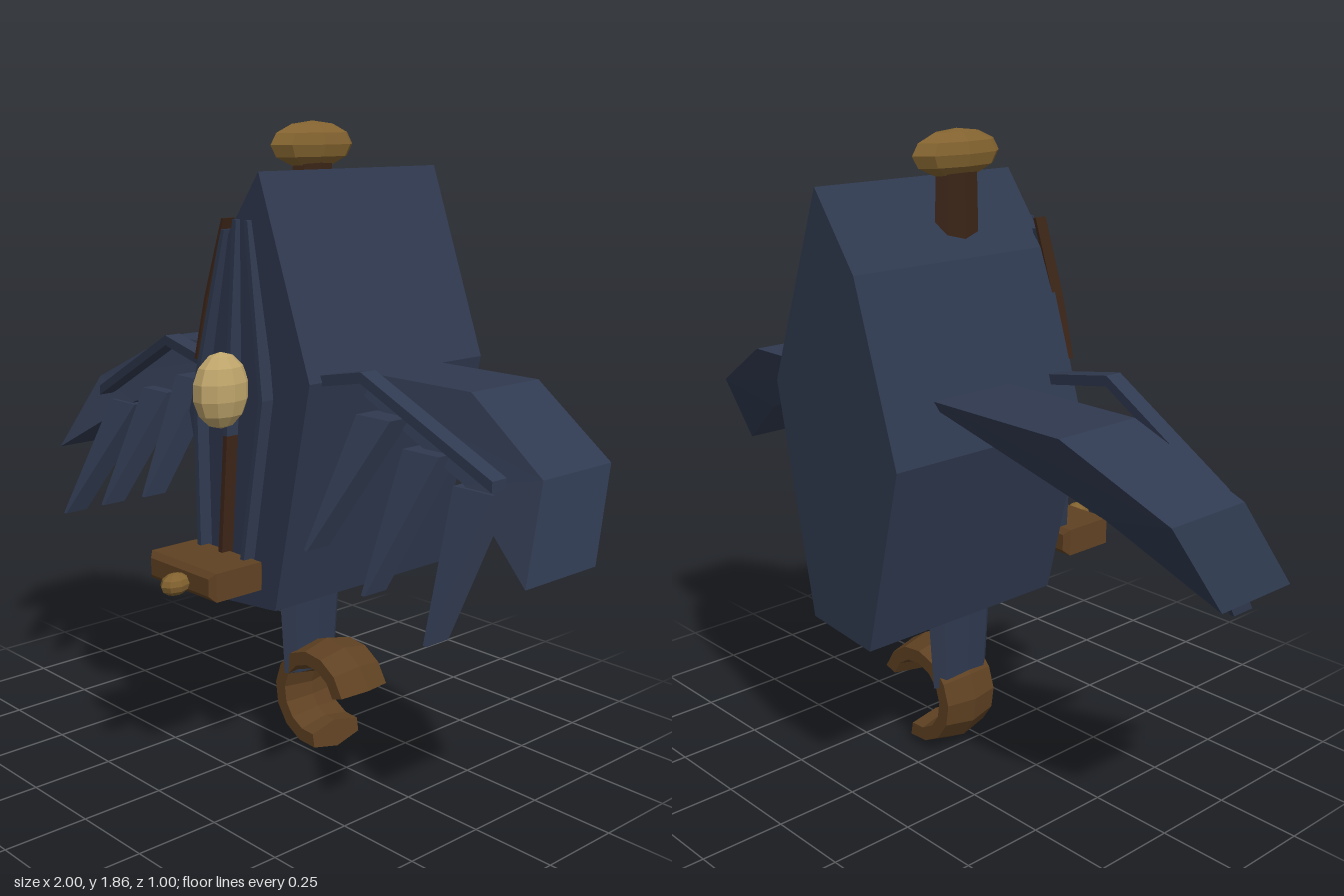
import * as THREE from 'three';
import { mergeGeometries } from 'three/addons/utils/BufferGeometryUtils.js';

const mat = (name, color) => {
  const m = new THREE.MeshStandardMaterial({ color, flatShading: true });
  m.name = name;
  return m;
};

export function createModel() {
  const navy = mat('navy', 0x2f394f);
  const brown = mat('brown', 0x5f4122);
  const darkBrown = mat('dark brown', 0x3b2417);
  const bronze = mat('bronze', 0x82622f);
  const gold = mat('pale gold', 0xbfa56b);

  const model = new THREE.Group();
  model.name = 'wingedCharm';
  const add = (name, geo, material, parent = model) => {
    const mesh = new THREE.Mesh(geo, material);
    mesh.name = name;
    parent.add(mesh);
    return mesh;
  };

  // Prism from an outline in x/y, sheared in z by a rule
  const prism = (pts, zBack, depth, shift = () => 0) => {
    const shape = new THREE.Shape(pts.map(([x, y]) => new THREE.Vector2(x, y)));
    const geo = new THREE.ExtrudeGeometry(shape, { depth, bevelEnabled: false });
    const p = geo.attributes.position;
    for (let i = 0; i < p.count; i++) {
      p.setZ(i, p.getZ(i) + zBack + shift(p.getX(i), p.getY(i)));
    }
    geo.computeVertexNormals();
    return geo;
  };
  // Outline of a bent strip: the path and its copy moved by (dx, dy)
  const strip = (path, dx, dy) => [
    ...path,
    ...path.map(([x, y]) => [x + dx, y + dy]).reverse(),
  ];
  const ellipsoid = (name, pos, radii, material, w = 8, h = 6) => {
    const geo = new THREE.SphereGeometry(1, w, h).scale(...radii);
    add(name, geo, material).position.set(...pos);
  };

  // Body: deep irregular hexagon
  add('body', prism([
    [0.085, 1.73], [-0.07, 1.52], [-0.23, 1.03],
    [-0.1, 0.485], [0.15, 0.51], [0.29, 1.18],
  ], -0.5, 0.69), navy);

  // Front ribs, leaning forward towards the clasp
  const lean = (x, y) => (1.6 - y) * 0.065;
  const rib = (name, path, width, material, z = 0.165) =>
    add(name, prism(strip(path, width, 0), z, 0.04, lean), material);
  rib('leftRib', [[0.04, 1.6], [0.135, 1.12], [0.085, 0.64]], 0.016, navy);
  rib('rightRib', [[-0.056, 1.57], [-0.151, 1.12], [-0.101, 0.64]], 0.016, navy);
  rib('upperCentreRib', [[-0.008, 1.6], [-0.008, 1.0]], 0.016, navy);
  rib('lowerCentreRib', [[-0.008, 1.0], [-0.008, 0.64]], 0.016, darkBrown);
  rib('brownRib', [[-0.055, 1.6], [-0.115, 1.38], [-0.15, 1.2]], 0.01, darkBrown);

  // Gem on the chest
  ellipsoid('gem', [0.01, 1.135, 0.265], [0.062, 0.108, 0.09], gold, 10, 7);

  // Top pin
  add('neck', new THREE.CylinderGeometry(1, 1.1, 0.3, 8).scale(0.034, 1, 0.075), darkBrown)
    .position.set(0, 1.61, -0.085);
  ellipsoid('knob', [0, 1.795, -0.085], [0.056, 0.066, 0.157], bronze);

  // Clasp with its button
  const plate = new THREE.Shape([[-0.13, -0.025], [0.13, -0.025], [0.13, 0.025], [-0.13, 0.025]]
    .map(([x, y]) => new THREE.Vector2(x, y)));
  add('clasp', new THREE.ExtrudeGeometry(plate, {
    depth: 0.16, bevelSize: 0.016, bevelThickness: 0.016, bevelSegments: 1,
  }), brown).position.set(0, 0.624, 0.238);
  ellipsoid('claspButton', [0.035, 0.622, 0.455], [0.032, 0.032, 0.047], bronze);

  // Stem below the body
  add('stem', new THREE.CylinderGeometry(0.044, 0.036, 0.3, 8).scale(1, 1, 2.85), navy)
    .position.set(-0.003, 0.38, -0.085);

  // Open hook with capped ends
  const R = 0.128, r = 0.041, arc = THREE.MathUtils.degToRad(262);
  const startCap = new THREE.CircleGeometry(r, 6).rotateX(Math.PI / 2).translate(R, 0, 0);
  const endCap = new THREE.CircleGeometry(r, 6).rotateX(-Math.PI / 2).translate(R, 0, 0).rotateZ(arc);
  const hook = mergeGeometries([new THREE.TorusGeometry(R, r, 6, 10, arc), startCap, endCap]);
  hook.scale(1, 1, 2.6).rotateZ(THREE.MathUtils.degToRad(18));
  add('hook', hook, brown).position.set(0.095, 0.172, -0.083);

  // Wings, mirrored
  const wingSweep = (x, y) => (y > 1.02 ? (1.18 - y) * 0.44 : 0.07 + (1.02 - y) * 0.55);
  // Feathers: inner edge, outer edge, top, tip x, tip y
  const feathers = [
    [0.335, 0.462, 1.09, 0.362, 0.755],
    [0.51, 0.637, 1.025, 0.578, 0.685],
    [0.688, 0.818, 0.96, 0.795, 0.612],
  ];
  for (const s of [1, -1]) {
    const wing = new THREE.Group();
    wing.name = s > 0 ? 'leftWing' : 'rightWing';
    model.add(wing);
    const side = (pts) => pts.map(([x, y]) => [s * x, y]);

    add('wingBlade', prism(side([
      [0.18, 1.18], [0.64, 1.18], [0.94, 1.015], [1, 0.78], [0.71, 0.965], [0.18, 1.155],
    ]), -0.33, 0.275, wingSweep), navy, wing);

    add('wingArm', prism(
      side(strip([[0.18, 1.18], [0.42, 1.225], [0.84, 1.005]], 0, -0.03)),
      0.1, 0.055, (x) => (0.18 - Math.abs(x)) * 0.1), navy, wing);

    feathers.forEach(([a, b, top, tx, ty], i) => {
      add('feather' + (i + 1), prism(
        side([[a, top], [b, top], [tx + 0.006, ty], [tx - 0.006, ty]]),
        -0.02, 0.08, (x, y) => ((top - y) / (top - ty)) * 0.21), navy, wing);
    });
  }
  return model;
}
